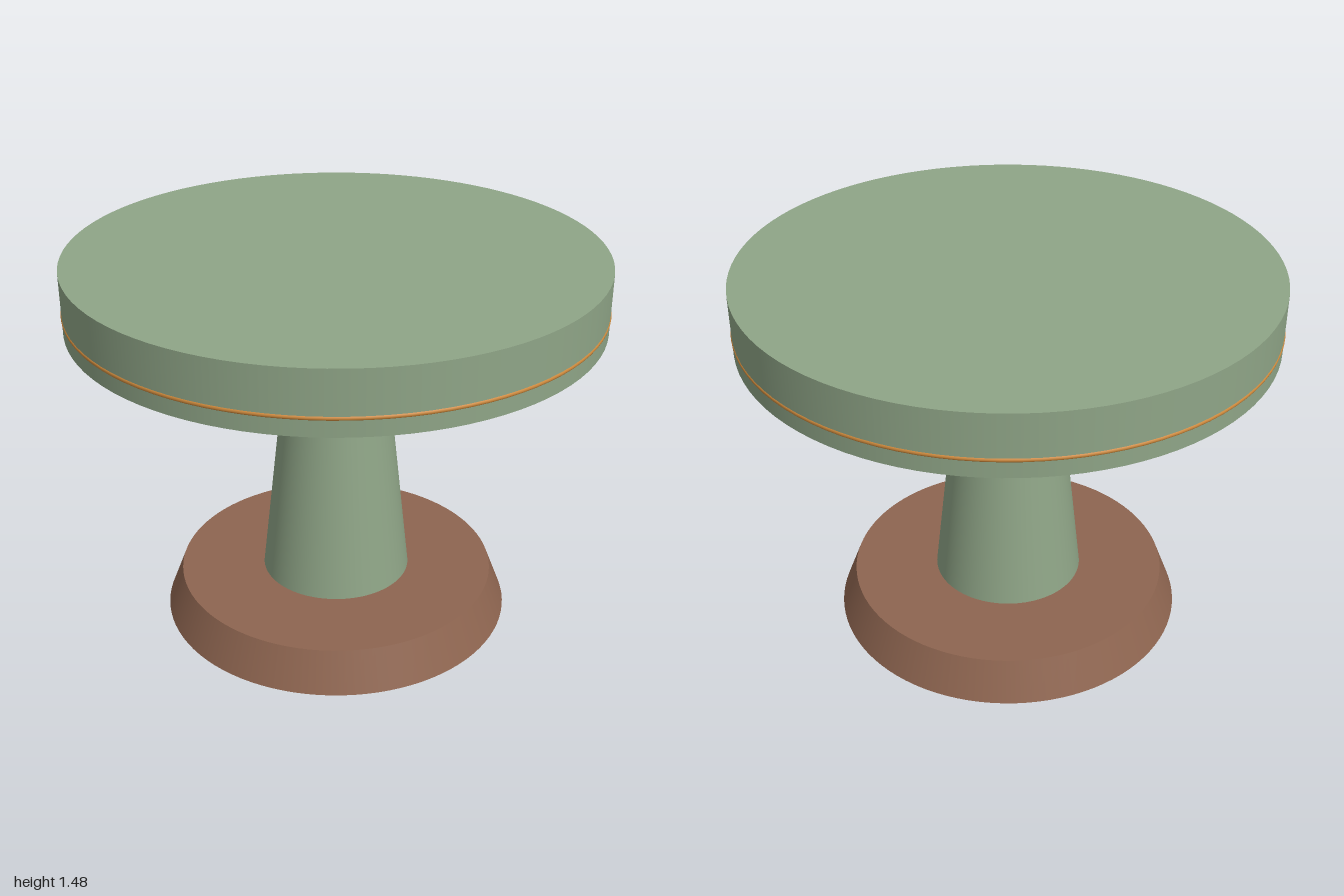
import * as THREE from 'three';

export function createModel() {
  const group = new THREE.Group();
  const sage = new THREE.MeshStandardMaterial({ name: 'sage green', color: 0x8fa587 });
  const brown = new THREE.MeshStandardMaterial({ name: 'warm brown', color: 0x8e6550 });
  const amber = new THREE.MeshStandardMaterial({ name: 'amber', color: 0xcf8a3c });

  // Round solid standing between two heights
  function disc(name, topRadius, bottomRadius, y0, y1, material) {
    const geometry = new THREE.CylinderGeometry(topRadius, bottomRadius, y1 - y0, 96);
    const mesh = new THREE.Mesh(geometry, material);
    mesh.name = name;
    mesh.position.y = (y0 + y1) / 2;
    group.add(mesh);
  }

  disc('base', 0.622, 0.683, 0, 0.158, brown);
  disc('pedestal', 0.17, 0.292, 0.155, 1.245, sage);
  disc('tableTop', 0.997, 0.997, 1.243, 1.475, sage);

  // Thin inlaid ring around the table edge
  const trim = new THREE.Mesh(new THREE.TorusGeometry(0.99, 0.01, 12, 96), amber);
  trim.name = 'edgeTrim';
  trim.rotation.x = Math.PI / 2;
  trim.position.y = 1.308;
  group.add(trim);

  return group;
}
